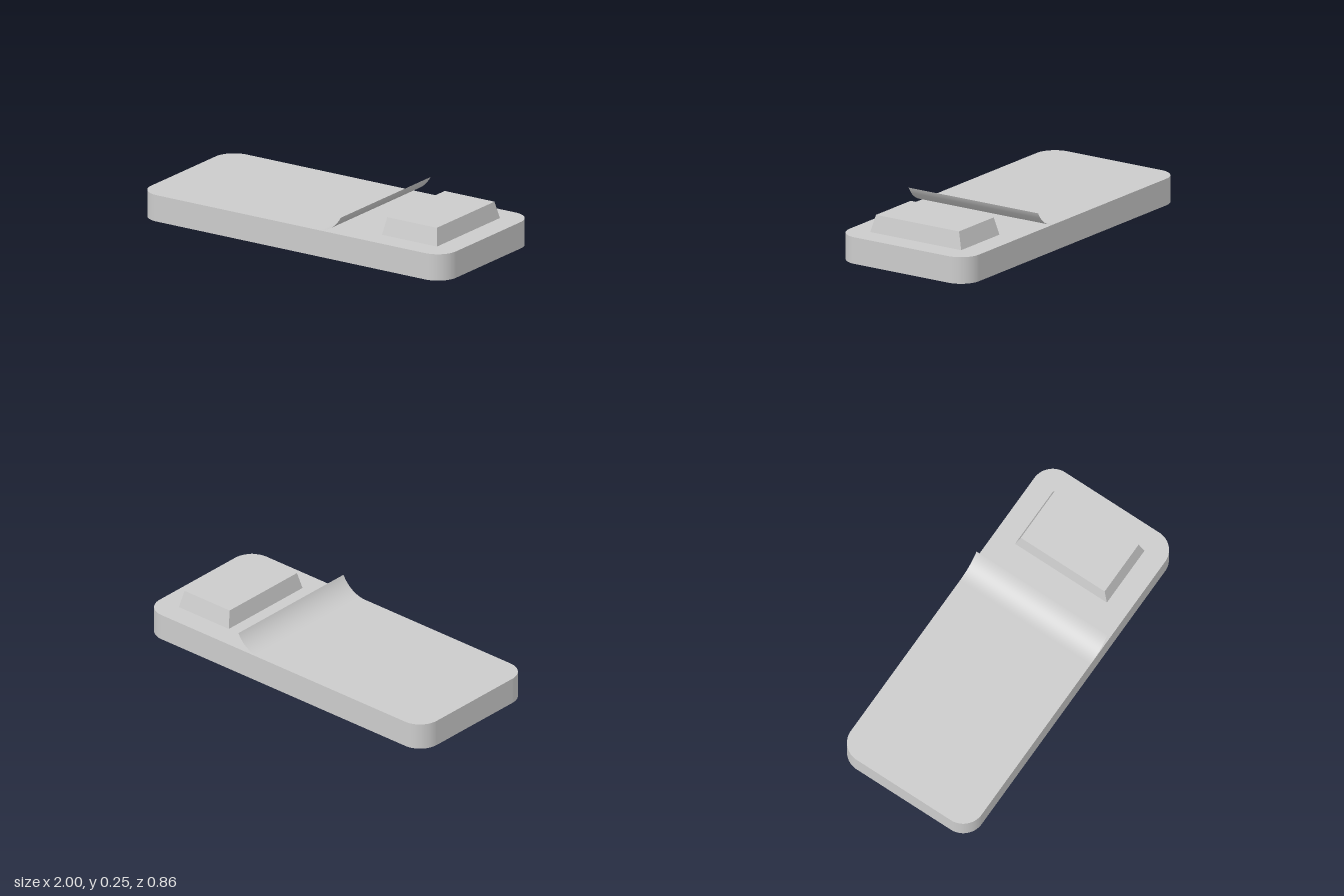
import * as THREE from 'three';

const W = 2, D = 0.855, BASE_H = 0.15, TOP_H = 0.247;

function addMesh(group, name, geometry, side = THREE.FrontSide) {
  const material = new THREE.MeshStandardMaterial({ color: 0xcccccc, side });
  const mesh = new THREE.Mesh(geometry, material);
  mesh.name = name;
  group.add(mesh);
}

// Slab with rounded vertical corners
function slabGeometry(r) {
  const x = W / 2, z = D / 2;
  const s = new THREE.Shape();
  s.absarc(x - r, z - r, r, 0, Math.PI / 2);
  s.absarc(-x + r, z - r, r, Math.PI / 2, Math.PI);
  s.absarc(-x + r, -z + r, r, Math.PI, Math.PI * 1.5);
  s.absarc(x - r, -z + r, r, Math.PI * 1.5, Math.PI * 2);
  s.closePath();
  const g = new THREE.ExtrudeGeometry(s, { depth: BASE_H, bevelEnabled: false, curveSegments: 16 });
  return g.rotateX(-Math.PI / 2);
}

// Box whose top face is drawn in on every side
function taperedBlock(w, h, d, inset) {
  const g = new THREE.BoxGeometry(w, h, d).translate(0, h / 2, 0);
  const p = g.attributes.position;
  for (let i = 0; i < p.count; i++) {
    if (p.getY(i) < h / 2) continue;
    p.setX(i, p.getX(i) - Math.sign(p.getX(i)) * inset.x);
    p.setZ(i, p.getZ(i) - Math.sign(p.getZ(i)) * inset.z);
  }
  g.computeVertexNormals();
  return g;
}

// Thin sheet that leaves the slab tangentially and curls upward
function curledSheet(tipX, angle) {
  const rise = TOP_H - BASE_H;
  const r = rise / (1 - Math.cos(angle));
  const startX = tipX - r * Math.sin(angle);
  const g = new THREE.PlaneGeometry(1, D, 24, 1).rotateX(-Math.PI / 2);
  const p = g.attributes.position;
  for (let i = 0; i < p.count; i++) {
    const a = (p.getX(i) + 0.5) * angle;
    p.setX(i, startX + r * Math.sin(a));
    p.setY(i, BASE_H + r * (1 - Math.cos(a)));
  }
  g.computeVertexNormals();
  return g;
}

export function createModel() {
  const model = new THREE.Group();
  model.name = 'slabWithBlockAndLip';

  addMesh(model, 'baseSlab', slabGeometry(0.12));

  const block = taperedBlock(0.36, TOP_H - BASE_H, 0.6, { x: 0.017, z: 0.026 });
  addMesh(model, 'raisedBlock', block.translate(0.688, BASE_H, 0));

  addMesh(model, 'curledLip', curledSheet(0.325, THREE.MathUtils.degToRad(63)), THREE.DoubleSide);

  return model;
}
